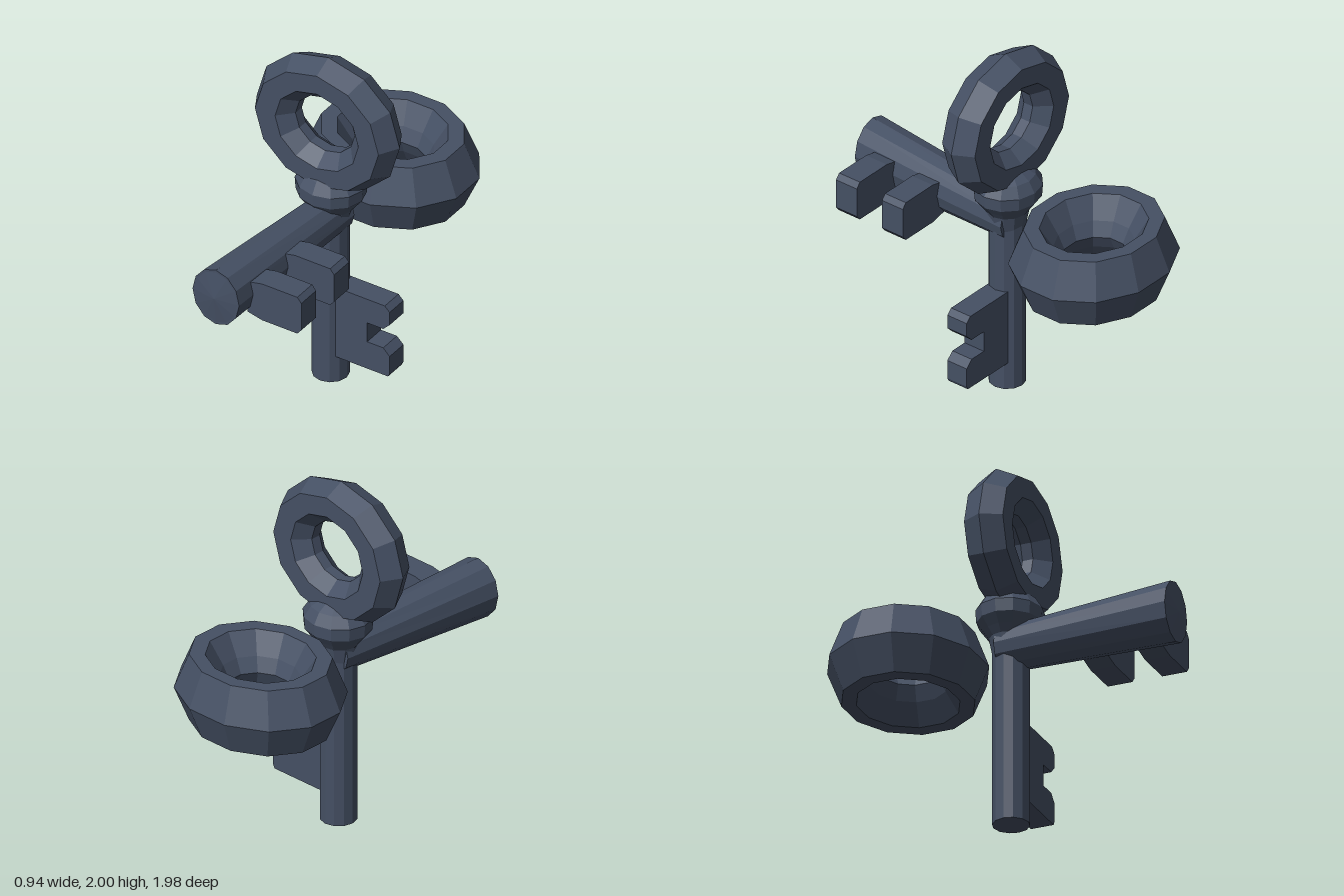
import * as THREE from 'three';

const slate = new THREE.MeshStandardMaterial({ color: 0x455064, flatShading: true });
slate.name = 'darkSlate';

function add(parent, name, geometry, x = 0, y = 0, z = 0) {
  const mesh = new THREE.Mesh(geometry, slate);
  mesh.name = name;
  mesh.position.set(x, y, z);
  parent.add(mesh);
  return mesh;
}

// Faceted ring about the y axis; closed section of [radius, height] corners
function ringGeometry(section, turn) {
  const points = [...section, section[0]].map(([r, h]) => new THREE.Vector2(r, h));
  return new THREE.LatheGeometry(points, 12, turn);
}

// Extruded plate with small cut corners on its outer teeth
function bitGeometry(outline, depth) {
  const shape = new THREE.Shape(outline.map(([x, y]) => new THREE.Vector2(x, y)));
  const geometry = new THREE.ExtrudeGeometry(shape, { depth, bevelEnabled: false });
  return geometry.translate(0, 0, -depth / 2);
}

function createUprightKey() {
  const key = new THREE.Group();
  key.name = 'uprightKey';
  add(key, 'shaft', new THREE.CylinderGeometry(0.1, 0.1, 1.15, 12), 0, 0.575, 0.005);

  // Bulging collar with a funnel down to the shaft
  const collar = [[0, 0.96], [0.1, 0.97], [0.12, 1.06], [0.15, 1.1], [0.19, 1.15],
    [0.195, 1.22], [0.155, 1.28], [0.1, 1.31], [0, 1.32]];
  const collarMesh = add(key, 'collar', new THREE.LatheGeometry(collar.map(([r, y]) => new THREE.Vector2(r, y)), 12));
  collarMesh.scale.z = 0.92;

  // Standing bow ring
  const bow = ringGeometry([[0.445, 0], [0.385, 0.11], [0.26, 0.11], [0.185, 0.03],
    [0.185, -0.03], [0.26, -0.11], [0.385, -0.11]], 0).rotateX(Math.PI / 2);
  add(key, 'bowRing', bow, -0.005, 1.595, 0.02).scale.y = 0.91;

  // Notched bit
  add(key, 'bit', bitGeometry([[0.07, 0.16], [0.4, 0.16], [0.41, 0.18], [0.41, 0.29],
    [0.37, 0.33], [0.27, 0.33], [0.27, 0.45], [0.37, 0.45], [0.41, 0.49],
    [0.41, 0.57], [0.38, 0.6], [0.07, 0.6]], 0.13), 0, 0, 0.005);
  return key;
}

function createLevelKey() {
  const key = new THREE.Group();
  key.name = 'levelKey';

  // Flared shaft, drifting sideways toward its blunt tip
  const shaft = new THREE.CylinderGeometry(0.145, 0.115, 1.02, 12).rotateX(Math.PI / 2);
  const p = shaft.attributes.position;
  for (let i = 0; i < p.count; i++) {
    const t = p.getZ(i) / 1.02 + 0.5;
    p.setX(i, p.getX(i) - 0.075 * t);
    p.setY(i, p.getY(i) * (1.05 + 0.13 * t));
  }
  add(key, 'shaft', shaft, 0, 1.01, 0.465);
  add(key, 'shaftTip', new THREE.ConeGeometry(0.14, 0.02, 12).rotateX(Math.PI / 2), -0.075, 1.01, 0.984).scale.y = 1.18;

  // Flat-lying bow ring with a sloping bowl on both faces
  const bow = ringGeometry([[0.485, 0], [0.4, 0.2], [0.31, 0.2], [0.23, 0.08],
    [0.19, 0], [0.23, -0.08], [0.31, -0.19], [0.4, -0.19]], Math.PI / 12);
  add(key, 'bowRing', bow, 0, 1.0, -0.58).scale.z = 0.865;

  // Two separate teeth
  for (const z of [0.47, 0.78]) {
    const tooth = bitGeometry([[0.04, 0.89], [0.13, 0.87], [0.35, 0.87], [0.375, 0.9],
      [0.375, 1.07], [0.35, 1.1], [0.13, 1.1], [0.04, 1.08]], 0.14);
    add(key, 'tooth', tooth, 0, 0, z);
  }
  return key;
}

export function createModel() {
  const model = new THREE.Group();
  model.name = 'crossedKeys';
  model.add(createUprightKey(), createLevelKey());
  return model;
}
